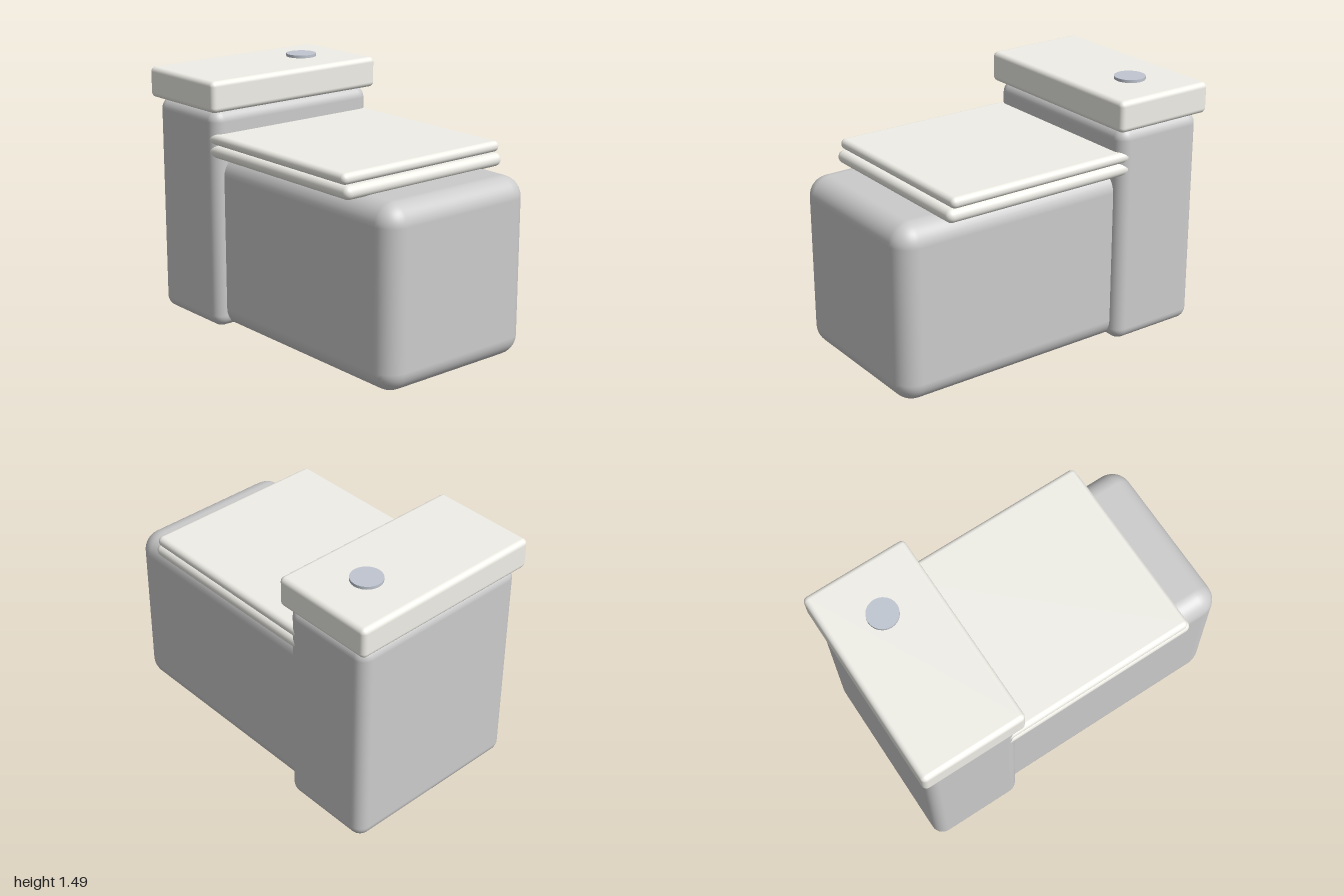
import * as THREE from 'three';
import { RoundedBoxGeometry } from 'three/addons/geometries/RoundedBoxGeometry.js';

export function createModel() {
  const group = new THREE.Group();
  const grey = new THREE.MeshStandardMaterial({ color: 0xcccccc });
  const cream = new THREE.MeshStandardMaterial({ color: 0xf0efe8 });
  const metal = new THREE.MeshStandardMaterial({ color: 0xc0c6d0 });

  // Rounded block centred on x, given by its half width and y and z ranges
  function block(name, halfX, [y0, y1], [z0, z1], radius, material) {
    const geometry = new RoundedBoxGeometry(halfX * 2, y1 - y0, z1 - z0, 5, radius);
    const mesh = new THREE.Mesh(geometry, material);
    mesh.name = name;
    mesh.position.set(0, (y0 + y1) / 2, (z0 + z1) / 2);
    group.add(mesh);
  }

  // Bowl and cistern, both standing on the floor
  block('bowl', 0.51, [0, 1.03], [-0.58, 1], 0.12, grey);
  block('tank', 0.57, [0, 1.295], [-0.97, -0.4], 0.07, grey);
  block('tankLid', 0.6, [1.29, 1.47], [-1, -0.37], 0.03, cream);

  // Seat with its cover, both running back into the tank
  block('seat', 0.568, [1.02, 1.096], [-0.52, 0.74], 0.0375, cream);
  block('seatCover', 0.568, [1.098, 1.16], [-0.52, 0.715], 0.03, cream);

  // Flush button
  const button = new THREE.Mesh(new THREE.CylinderGeometry(0.09, 0.09, 0.03, 24), metal);
  button.name = 'flushButton';
  button.position.set(0.285, 1.472, -0.69);
  group.add(button);

  return group;
}
